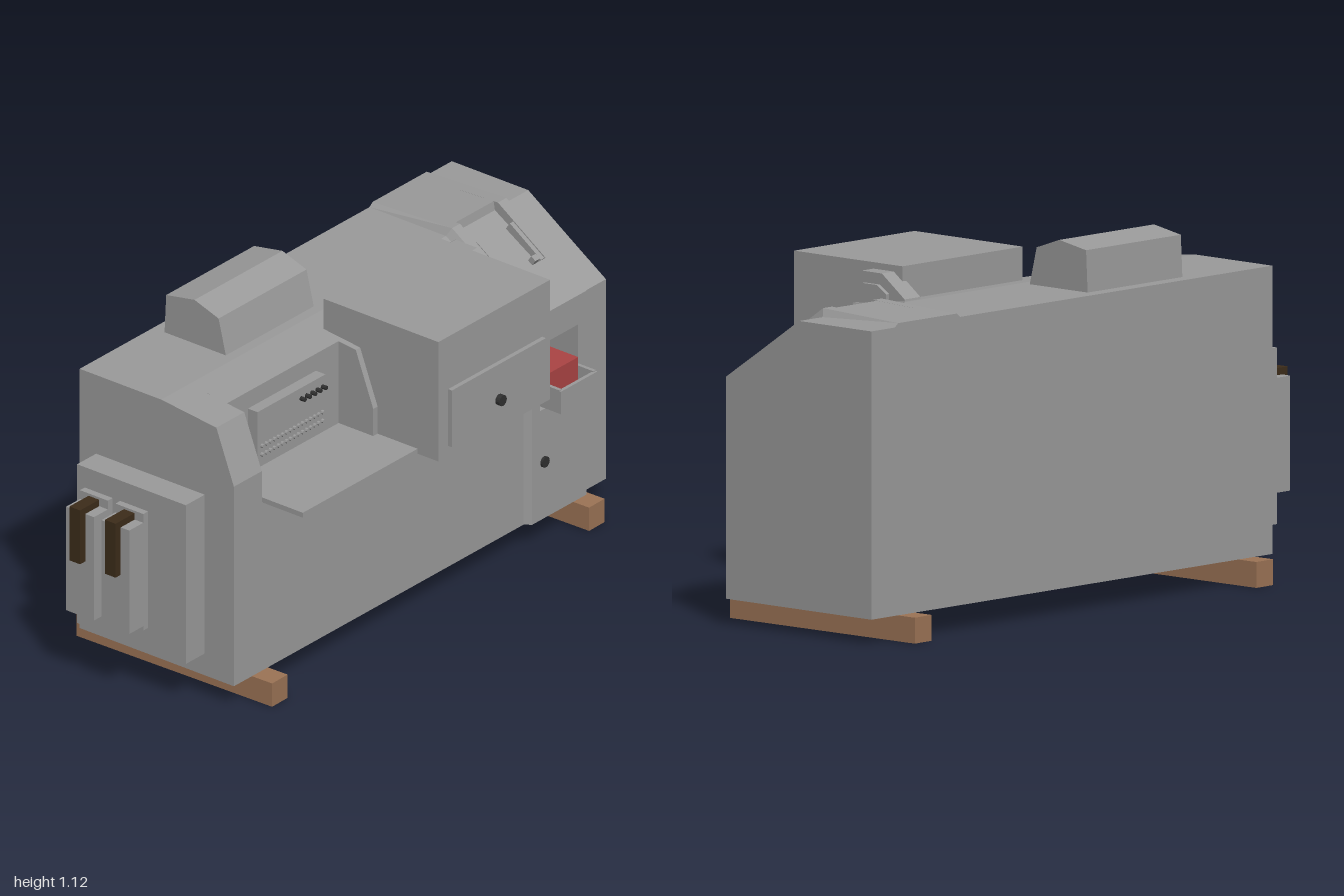
import * as THREE from 'three';

const mat = (color) => new THREE.MeshStandardMaterial({ color, flatShading: true });

// Solid between side profiles a at x0 and b at x1; points are [z, y], equal counts.
function loftGeometry(x0, a, x1, b = a) {
  const pos = [];
  const put = (x, p) => pos.push(x, p[1], p[0]);
  a.forEach((p, i) => {
    const j = (i + 1) % a.length;
    put(x0, p); put(x0, a[j]); put(x1, b[j]);
    put(x0, p); put(x1, b[j]); put(x1, b[i]);
  });
  const cap = (x, prof, flip) => {
    const pts = prof.map(([z, y]) => new THREE.Vector2(-z, y));
    for (const f of THREE.ShapeUtils.triangulateShape(pts, [])) {
      for (const k of flip ? [f[2], f[1], f[0]] : f) put(x, prof[k]);
    }
  };
  cap(x0, a, true);
  cap(x1, b, false);
  const g = new THREE.BufferGeometry();
  g.setAttribute('position', new THREE.Float32BufferAttribute(pos, 3));
  g.computeVertexNormals();
  return g;
}

export function createModel() {
  const root = new THREE.Group();
  root.name = 'machine';
  const machine = new THREE.Group();
  machine.name = 'machineParts';
  machine.rotation.y = -0.019; // stands slightly askew on its bearers
  root.add(machine);

  const grey = mat(0x9a9a9a), wood = mat(0x9b7355), dark = mat(0x303030);
  const brown = mat(0x3c2c1a), red = mat(0xaa4444);

  const add = (name, geo, m = grey) => {
    const mesh = new THREE.Mesh(geo, m);
    mesh.name = name;
    machine.add(mesh);
    return mesh;
  };
  const loft = (name, x0, a, x1, b) => add(name, loftGeometry(x0, a, x1, b));
  // box given by its limits
  const box = (name, x0, x1, y0, y1, z0, z1, m) => {
    const mesh = add(name, new THREE.BoxGeometry(x1 - x0, y1 - y0, z1 - z0), m);
    mesh.position.set((x0 + x1) / 2, (y0 + y1) / 2, (z0 + z1) / 2);
    return mesh;
  };
  // round knob facing the front
  const knob = (name, x, y, z0, z1, r, m = dark, sides = 16) => {
    const mesh = add(name, new THREE.CylinderGeometry(r, r, z1 - z0, sides), m);
    mesh.rotation.x = Math.PI / 2;
    mesh.position.set(x, y, (z0 + z1) / 2);
  };

  // Side profiles
  const tall = [[-0.402, 0.08], [-0.402, 0.97], [-0.08, 0.97], [0.138, 0.945], [0.207, 0.765], [0.207, 0.08]];
  const alcove = [[-0.402, 0.08], [-0.402, 0.97], [-0.08, 0.97], [0.07, 0.953], [0.07, 0.655], [0.207, 0.655], [0.207, 0.08]];
  const sloped = [[-0.402, 0.08], [-0.402, 0.97], [-0.1, 0.97], [0.08, 0.849], [0.207, 0.765], [0.207, 0.08]];
  const band = [[-0.402, 0.08], [-0.402, 0.982], [-0.088, 0.995], [0.1, 0.867], [0.228, 0.78], [0.228, 0.08]];
  const notched = [[-0.402, 0.08], [-0.402, 0.982], [-0.105, 0.994], [-0.1, 0.965], [0.085, 0.85], [0.1, 0.867],
    [0.228, 0.78], [0.228, 0.68], [0.1, 0.642], [0.1, 0.455], [0.228, 0.455], [0.228, 0.08]];

  // Main housing
  loft('housingEnd', -0.794, tall, -0.66);
  loft('housingAlcove', -0.66, alcove, -0.125);
  loft('housingMiddle', -0.125, tall, 0.498);
  loft('housingShoulder', 0.498, tall, 0.533, sloped);
  loft('housingGap', 0.533, sloped, 0.597);
  loft('housingOuterEnd', 0.887, sloped, 0.992);

  // Raised band with dispenser slot and sloping recess
  loft('bandEdge', 0.597, sloped, 0.612, band);
  loft('bandSide', 0.612, band, 0.65);
  loft('bandFace', 0.65, notched, 0.832);
  loft('bandSide', 0.832, band, 0.872);
  loft('bandEdge', 0.872, band, 0.887, sloped);

  // Rails on the sloping recess
  for (const s of [-1, 1]) {
    const rail = box('rail', -0.008, 0.008, -0.015, 0.015, -0.075, 0.075);
    rail.position.set(0.741 + s * 0.08, 0.897, 0.028);
    rail.rotation.x = 0.6;
    const foot = box('railFoot', -0.016, 0.016, -0.015, 0.015, -0.01, 0.01);
    foot.position.set(0.741 + s * 0.066, 0.863, 0.077);
    foot.rotation.x = 0.6;
  }

  // Dispenser tray and its contents
  box('trayFloor', 0.655, 0.831, 0.468, 0.482, 0.1, 0.306);
  box('trayFront', 0.655, 0.831, 0.468, 0.545, 0.294, 0.306);
  for (const x of [0.655, 0.819]) box('traySide', x, x + 0.012, 0.468, 0.548, 0.1, 0.3);
  box('redBlock', 0.68, 0.815, 0.482, 0.58, 0.13, 0.243, red);
  knob('bandKnob', 0.669, 0.275, 0.225, 0.236, 0.018);

  // Shelf and control panel in the alcove
  box('shelf', -0.655, -0.1, 0.655, 0.672, 0.06, 0.365);
  box('controlPanel', -0.56, -0.234, 0.705, 0.895, 0.06, 0.108);
  for (let row = 0; row < 2; row++) {
    for (let i = 0; i < 16; i++) {
      knob('key', -0.54 + i * 0.0193, 0.743 + row * 0.03, 0.105, 0.117, 0.007, grey, 8);
    }
  }
  for (let i = 0; i < 5; i++) knob('indicator', -0.352 + i * 0.0255, 0.86, 0.105, 0.126, 0.007, dark, 8);

  // Large front cabinet with panel and knob
  box('cabinet', -0.104, 0.432, 0.655, 1.065, -0.006, 0.447);
  box('cabinetPanel', -0.057, 0.394, 0.69, 0.885, 0.44, 0.462);
  knob('cabinetKnob', 0.169, 0.765, 0.46, 0.478, 0.018);

  // Eight-sided bracket on the cabinet's side
  loft('sideBracket', 0.415, [[-0.07, 0.95], [-0.065, 0.975], [0.03, 1.045], [0.115, 1.045], [0.178, 1.005],
    [0.178, 0.945], [0.12, 0.9], [0.03, 0.9]], 0.485);
  loft('sideBracketHub', 0.483, [[0, 0.955], [0, 0.985], [0.04, 1.01], [0.1, 1.01], [0.138, 0.985],
    [0.138, 0.965], [0.1, 0.94], [0.03, 0.94]], 0.498);

  // Hood on the roof
  loft('roofHood', -0.442, [[-0.357, 0.96], [-0.35, 1.1], [-0.238, 1.12], [-0.143, 1.087], [-0.112, 0.96]], -0.02);

  // Switch gear on the end wall
  box('endPlate', -0.885, -0.79, 0.155, 0.7, -0.337, 0.092);
  for (const z of [-0.252, -0.112]) {
    box('switchBase', -0.908, -0.88, 0.23, 0.63, z - 0.055, z + 0.055);
    box('switchBox', -0.975, -0.9, 0.245, 0.6, z - 0.055, z + 0.055);
    box('switchLeverTop', -1, -0.905, 0.595, 0.622, z - 0.021, z + 0.021, brown);
    box('switchLever', -1, -0.97, 0.437, 0.6, z - 0.021, z + 0.021, brown);
  }

  // Wooden bearers, square to the ground axes
  for (const [x, z] of [[-0.673, -0.108], [0.843, -0.075]]) {
    const bearer = new THREE.Mesh(new THREE.BoxGeometry(0.076, 0.08, 0.76), wood);
    bearer.name = 'woodenBearer';
    bearer.position.set(x, 0.04, z);
    root.add(bearer);
  }

  return root;
}
